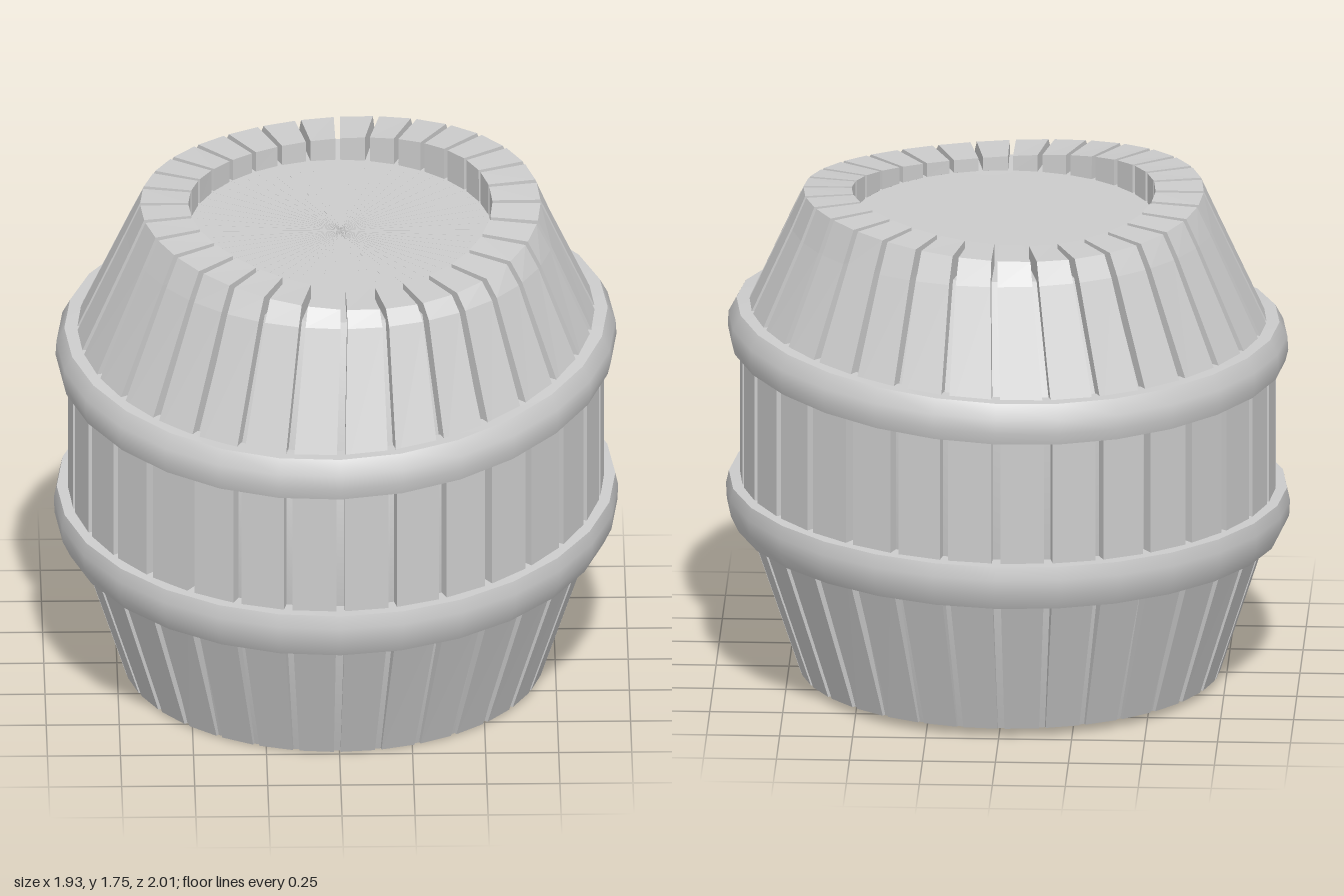
import * as THREE from 'three';
import { toCreasedNormals } from 'three/addons/utils/BufferGeometryUtils.js';

const STAVES = 32;
const { sin, cos, PI } = Math;

// Uneven heights around the barrel; a is the angle from the front (+z) towards +x
const baseY = (a) => 0.015 - 0.015 * cos(a);
const lowY = (a) => 0.597 + 0.0175 * sin(a) - 0.0335 * cos(a) - 0.0105 * cos(2 * a);
const highY = (a) => 1.201 + 0.0325 * sin(a) - 0.035 * cos(a) - 0.026 * cos(2 * a);
const lidY = (a, r) => 1.625 - 0.02 * r * cos(a);
const rimY = (a) => 1.71 - 0.025 * cos(a) - 0.02 * cos(2 * a) - 0.018 * sin(2 * a);

// Levels from bottom to top: outer and inner radius, stretch in z, sideways shift, height
const levels = [
  { outer: 0.722, inner: 0.6, stretch: 1.02, shift: -0.008, y: baseY },
  { outer: 0.917, inner: 0.82, stretch: 1.038, shift: 0, y: lowY },
  { outer: 0.917, inner: 0.82, stretch: 1.038, shift: 0, y: highY },
  { outer: 0.733, inner: 0.52, stretch: 1.055, shift: 0.015, y: (a) => lidY(a, 0.55) },
  { outer: 0.685, inner: 0.52, stretch: 1.06, shift: 0.015, y: rimY },
];

function place(level, r, a, dy = 0) {
  return [level.shift + r * sin(a), level.y(a, r) + dy, r * level.stretch * cos(a)];
}

// One plank between angles a and b, following all levels
function staveGeometry(a, b) {
  const pos = [];
  const quad = (p, q, r, s) => pos.push(...p, ...q, ...r, ...p, ...r, ...s);
  const rows = levels.map((l) => ({
    oa: place(l, l.outer, a), ob: place(l, l.outer, b),
    ia: place(l, l.inner, a), ib: place(l, l.inner, b),
  }));
  for (let i = 0; i < rows.length - 1; i++) {
    const d = rows[i], u = rows[i + 1];
    quad(d.oa, d.ob, u.ob, u.oa);
    quad(d.ib, d.ia, u.ia, u.ib);
    quad(d.ob, d.ib, u.ib, u.ob);
    quad(d.ia, d.oa, u.oa, u.ia);
  }
  const bottom = rows[0], top = rows[rows.length - 1];
  quad(top.oa, top.ob, top.ib, top.ia);
  quad(bottom.ia, bottom.ib, bottom.ob, bottom.oa);
  const g = new THREE.BufferGeometry();
  g.setAttribute('position', new THREE.Float32BufferAttribute(pos, 3));
  g.computeVertexNormals();
  return g;
}

// Ring of profile points [level, radius, height offset] swept round the barrel
function sweep(profile, segments, crease) {
  const g = new THREE.LatheGeometry(profile.map((p) => new THREE.Vector2(p[1], p[2])), segments);
  const pos = g.attributes.position;
  for (let i = 0; i < pos.count; i++) {
    const [level, r, dy] = profile[i % profile.length];
    const a = (Math.floor(i / profile.length) % segments) * 2 * PI / segments;
    pos.setXYZ(i, ...place(level, r, a, dy));
  }
  return toCreasedNormals(g, crease);
}

export function createModel() {
  const barrel = new THREE.Group();
  barrel.name = 'barrel';
  const grey = new THREE.MeshStandardMaterial({ color: 0xcccccc });
  grey.name = 'grey';
  const add = (parent, geometry, name) => {
    const mesh = new THREE.Mesh(geometry, grey);
    mesh.name = name;
    parent.add(mesh);
  };

  // Planks with narrow gaps between them
  const staves = new THREE.Group();
  staves.name = 'staves';
  barrel.add(staves);
  const pitch = 2 * PI / STAVES, gap = 0.032;
  for (let i = 0; i < STAVES; i++) {
    add(staves, staveGeometry(i * pitch + gap / 2, (i + 1) * pitch - gap / 2), 'stave');
  }

  // Body behind the gaps, closed by the base and the sunken lid
  const [base, low, high, lid] = levels;
  add(barrel, sweep([
    [base, 0, -0.002], [base, 0.708, -0.002], [low, 0.875, 0],
    [high, 0.875, 0], [lid, 0.68, 0], [lid, 0, 0],
  ], 64, 0.4), 'coreWithLid');

  // Two wavy hoops covering the bends of the staves, the lower one mirrored
  const hoop = [[0.86, -0.07], [0.95, -0.07], [0.96, -0.03], [0.957, 0.02], [0.93, 0.07], [0.86, 0.07]];
  add(barrel, sweep(hoop.map(([r, dy]) => [high, r, dy]), 28, 0.8), 'upperHoop');
  add(barrel, sweep(hoop.map(([r, dy]) => [low, r + 0.006, -dy * 1.12]).reverse(), 28, 0.8), 'lowerHoop');

  return barrel;
}
